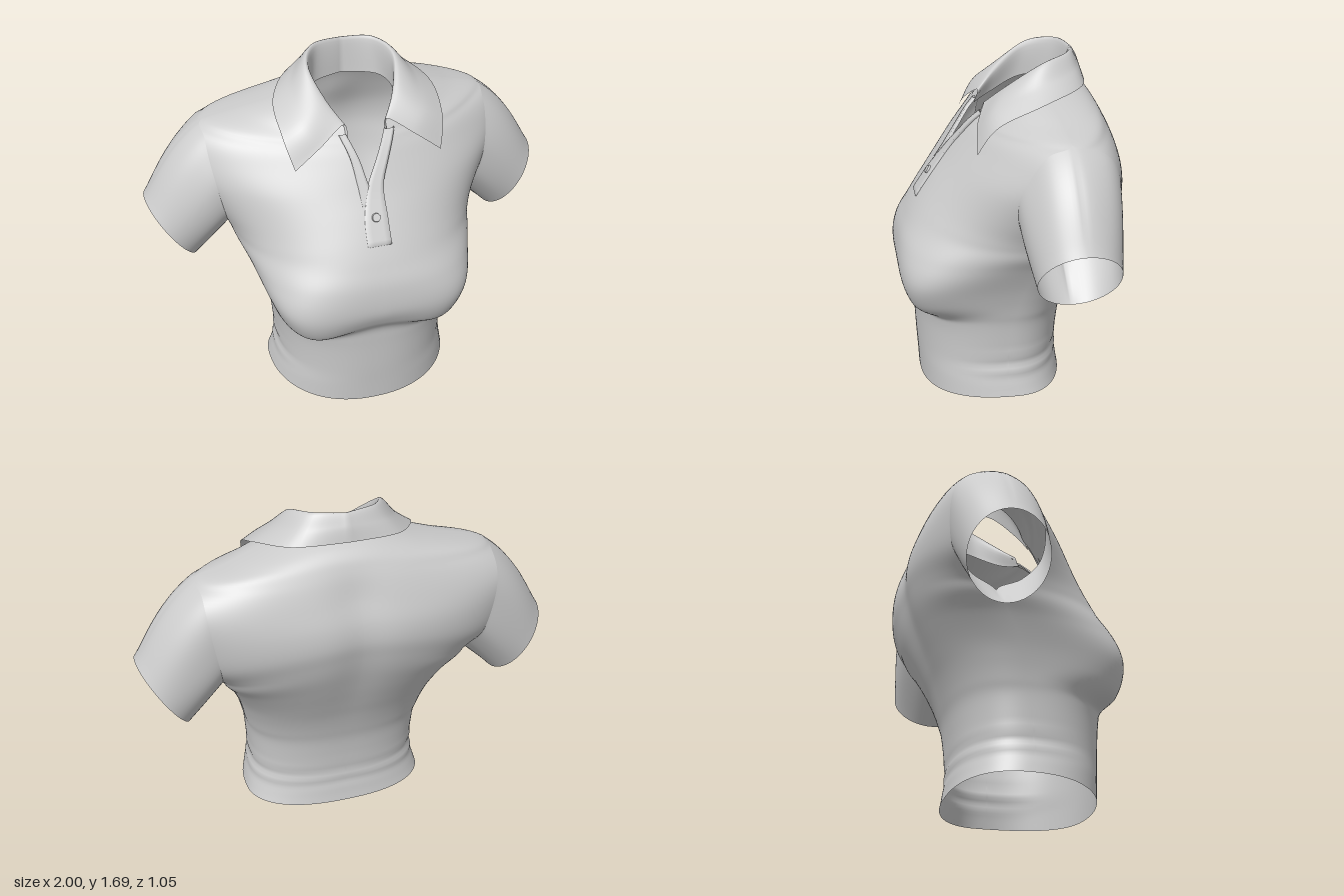
import * as THREE from 'three';
import { mergeGeometries, mergeVertices } from 'three/addons/utils/BufferGeometryUtils.js';

const material = new THREE.MeshStandardMaterial({ color: 0xcccccc, roughness: 0.8, side: THREE.DoubleSide });
const { smoothstep, lerp, degToRad } = THREE.MathUtils;
const gauss = (d, width) => Math.exp(-((d / width) ** 2));

// Side line of the body, hem to neck: y, half width, z of front edge, z of back edge.
// The two edges part between rows 8 and 14 to leave the armhole.
const edge = [
  [0.04, 0.465, 0, 0], [0.12, 0.445, 0.03, 0.03], [0.22, 0.43, 0.03, 0.03], [0.4, 0.44, 0.02, 0.02],
  [0.48, 0.455, 0, 0], [0.56, 0.475, -0.02, -0.02], [0.65, 0.505, -0.05, -0.05], [0.76, 0.553, -0.12, -0.12],
  [0.84, 0.6, -0.19, -0.19], [0.9, 0.618, -0.075, -0.31], [1.0, 0.64, 0.01, -0.4], [1.15, 0.67, 0.025, -0.425],
  [1.28, 0.69, -0.03, -0.41], [1.37, 0.695, -0.1, -0.34], [1.41, 0.69, -0.2, -0.2], [1.455, 0.52, -0.19, -0.19],
  [1.5, 0.36, -0.17, -0.17], [1.54, 0.24, -0.15, -0.15],
];
// Centre lines: front y, front z, back y, back z
const centre = [
  [0, 0.425, 0.04, -0.28], [0.1, 0.43, 0.12, -0.268], [0.22, 0.437, 0.22, -0.262], [0.4, 0.445, 0.4, -0.28],
  [0.49, 0.455, 0.5, -0.305], [0.56, 0.5, 0.6, -0.34], [0.65, 0.53, 0.7, -0.385], [0.78, 0.517, 0.82, -0.44],
  [0.88, 0.475, 0.93, -0.485], [0.97, 0.425, 1.02, -0.512], [1.07, 0.36, 1.11, -0.53], [1.17, 0.29, 1.2, -0.523],
  [1.27, 0.225, 1.3, -0.49], [1.33, 0.185, 1.39, -0.455], [1.37, 0.155, 1.45, -0.425], [1.39, 0.135, 1.49, -0.4],
  [1.405, 0.12, 1.52, -0.37], [1.42, 0.11, 1.54, -0.335],
];
// Squareness of the front of each row
const square = [2.3, 2.3, 2.3, 2.4, 2.7, 4.1, 4.5, 3.2, 2.5, 2.3, 2.1, 1.85, 1.65, 1.6, 1.6, 1.75, 2, 2].map((n) => [n]);
const ROWS = edge.length - 1, STEP = 6, PIT = 8, TIP = 14;

// Smooth interpolation through the rows of a table
function at(table, t) {
  const i = Math.min(Math.floor(t), table.length - 2), f = t - i;
  const row = (k) => table[Math.max(0, Math.min(table.length - 1, k))];
  return row(i).map((b, k) => {
    const a = row(i - 1)[k], c = row(i + 1)[k], d = row(i + 2)[k];
    return b + 0.5 * f * (c - a + f * (2 * a - 5 * b + 4 * c - d + f * (3 * (b - c) + d - a)));
  });
}

// Surface from a rule fn(i, j) giving a point
function grid(fn, nu, nv, flip) {
  const pos = [], idx = [];
  for (let j = 0; j <= nv; j++) for (let i = 0; i <= nu; i++) pos.push(...fn(i, j));
  for (let j = 0; j < nv; j++) for (let i = 0; i < nu; i++) {
    const a = j * (nu + 1) + i, b = a + 1, c = a + nu + 1, d = c + 1;
    idx.push(...(flip ? [a, d, b, a, c, d] : [a, b, d, a, d, c]));
  }
  const g = new THREE.BufferGeometry();
  g.setAttribute('position', new THREE.Float32BufferAttribute(pos, 3));
  g.setIndex(idx);
  return g;
}

function smooth(name, parts) {
  const g = mergeVertices(mergeGeometries(parts), 1e-4);
  g.computeVertexNormals();
  const mesh = new THREE.Mesh(g, material);
  mesh.name = name;
  return mesh;
}

// Point on the body: row t, u from centre (0) to side (1)
function bodyPoint(t, u, side, front) {
  const [ye, w, zef, zeb] = at(edge, t), [yf, zf, yb, zb] = at(centre, t);
  const mid = (zef + zeb) / 2;
  const ze = t <= PIT || t >= TIP ? mid : front ? zef : zeb;
  const n = front ? at(square, t)[0] : 2.4, yc = front ? yf : yb, zc = front ? zf : zb;
  // the section is a rounded oval, cut short where it meets the armhole
  const am = Math.acos(Math.max(0, (ze - mid) / (zc - mid)) ** (n / 2));
  const S = (a) => Math.sin(a) ** (2 / n), C = (a) => Math.max(0, Math.cos(a)) ** (2 / n);
  // the front parts into the neck opening
  const slit = front ? 0.1 * Math.max(0, Math.min(1, (t - 11) / 4)) ** 0.7 : 0;
  const a0 = Math.asin((slit / w * S(am)) ** (n / 2));
  const a = lerp(a0, am, u * u * (3 - 2 * u)), k = u === 1 ? 1 : S(a) / S(am);
  let x = w * k, z = u === 1 ? ze : mid + (zc - mid) * C(a);
  let y = lerp(yc, ye, k * k);
  // bust fold hangs lower at each side
  if (front) y -= 0.06 * gauss(x - 0.36, 0.19) * gauss(y - 0.54, 0.1) * (1 - k ** 6);
  // creases around the waist
  const crease = 1 + 0.014 * Math.sin(y * 75 + x * 4) * gauss(y - 0.2, 0.07) * smoothstep(0.35 - z, 0, 0.4);
  // groove along the spine
  if (!front) z += 0.02 * gauss(x, 0.12) * smoothstep(y, 0.5, 1) * (1 - smoothstep(y, 1.3, 1.5));
  x *= crease; z *= crease;
  // the neckline sits slightly to one side
  const lean = 0.03 * smoothstep(y, 1.15, 1.42) * (1 - smoothstep(x, 0.35, 0.65));
  return [side * x + lean, y, z];
}

function sleeve(side) {
  const loop = [];
  const n = (TIP - PIT) * STEP;
  for (let i = 0; i <= n; i++) loop.push(bodyPoint(PIT + i / STEP, 1, side, true));
  for (let i = n - 1; i >= 0; i--) loop.push(bodyPoint(PIT + i / STEP, 1, side, false));
  const rings = 16;
  return grid((i, j) => {
    const [x, y, z] = loop[i], s = j / rings;
    const phi = Math.atan2((y - 1.125) / 0.285, (z + 0.2) / 0.23);
    const up = Math.sin(phi), fwd = Math.cos(phi);
    const bulge = 5 * s * (1 - s) ** 1.4, top = Math.max(0, up) * bulge * 0.03;
    return [
      lerp(x, side * (0.885 + 0.115 * up), s) + side * top * 0.8,
      lerp(y, 0.855 + 0.168 * up, s) + top * 0.6,
      lerp(z, -0.205 + 0.187 * fwd, s) + 0.004 * fwd * bulge,
    ];
  }, loop.length - 1, rings, side > 0);
}

// Collar: lines from centre back to front end, from inner band over the fold to the free edge
const collarLines = [
  [[0, 1.5, -0.31], [0.16, 1.5, -0.24], [0.2, 1.48, -0.11], [0.16, 1.42, 0.03], [0.09, 1.39, 0.12]],
  [[0, 1.675, -0.32], [0.14, 1.68, -0.28], [0.21, 1.65, -0.15], [0.17, 1.545, 0], [0.105, 1.45, 0.1]],
  [[0, 1.63, -0.36], [0.2, 1.615, -0.31], [0.3, 1.565, -0.13], [0.29, 1.475, 0.07], [0.23, 1.375, 0.15]],
  [[0, 1.56, -0.38], [0.25, 1.55, -0.335], [0.385, 1.505, -0.13], [0.39, 1.415, 0.075], [0.355, 1.28, 0.167]],
];
function collar(side) {
  return grid((i, j) => {
    const profile = collarLines.map((line) => at(line, i / 8));
    const [x, y, z] = at(profile, j / 8);
    return [side * x + 0.03, y, z];
  }, 32, 24, side < 0);
}

// Front depth of the body at a height, near the centre line
function frontZ(y) {
  let i = 0;
  while (i < ROWS - 1 && centre[i + 1][0] < y) i++;
  const [y0, z0] = centre[i], [y1, z1] = centre[i + 1];
  return lerp(z0, z1, (y - y0) / (y1 - y0));
}

// Placket band: rows of y, left x, right x, laid just over the body, with turned-in edges
function band(rows, lift) {
  return grid((i, j) => {
    const [y, x0, x1] = at(rows, j / 6);
    const k = Math.max(0, Math.min(1, (i - 1) / 4));
    const sunk = i === 0 || i === 6 || j === 0;
    return [lerp(x0, x1, k), y, frontZ(y) + (sunk ? -0.01 : lift)];
  }, 6, (rows.length - 1) * 6, false);
}

export function createModel() {
  const group = new THREE.Group();
  group.name = 'poloShirt';

  // Body and sleeves share their armhole points, so they join smoothly
  const cloth = [];
  for (const side of [1, -1]) {
    for (const front of [true, false]) {
      cloth.push(grid((i, j) => bodyPoint(j / STEP, i / 32, side, front), 32, ROWS * STEP, (side > 0) !== front));
    }
    cloth.push(sleeve(side));
  }
  group.add(smooth('bodyAndSleeves', cloth));
  group.add(smooth('collar', [collar(1), collar(-1)]));

  // Overlapping button bands of the neck opening
  group.add(smooth('upperPlacket', [band(
    [[0.96, -0.05, 0.065], [1.08, -0.045, 0.065], [1.2, -0.005, 0.068], [1.3, 0.055, 0.11], [1.41, 0.12, 0.165]], 0.006)]));
  group.add(smooth('lowerPlacket', [band(
    [[1.12, -0.045, 0.02], [1.22, -0.055, -0.005], [1.32, -0.07, -0.03], [1.41, -0.105, -0.07]], 0.004)]));

  // Button
  const button = new THREE.Mesh(new THREE.CylinderGeometry(0.019, 0.022, 0.012, 24), material);
  button.name = 'button';
  button.position.set(0.008, 1.085, frontZ(1.085) + 0.01);
  button.rotation.x = degToRad(57);
  group.add(button);
  return group;
}
